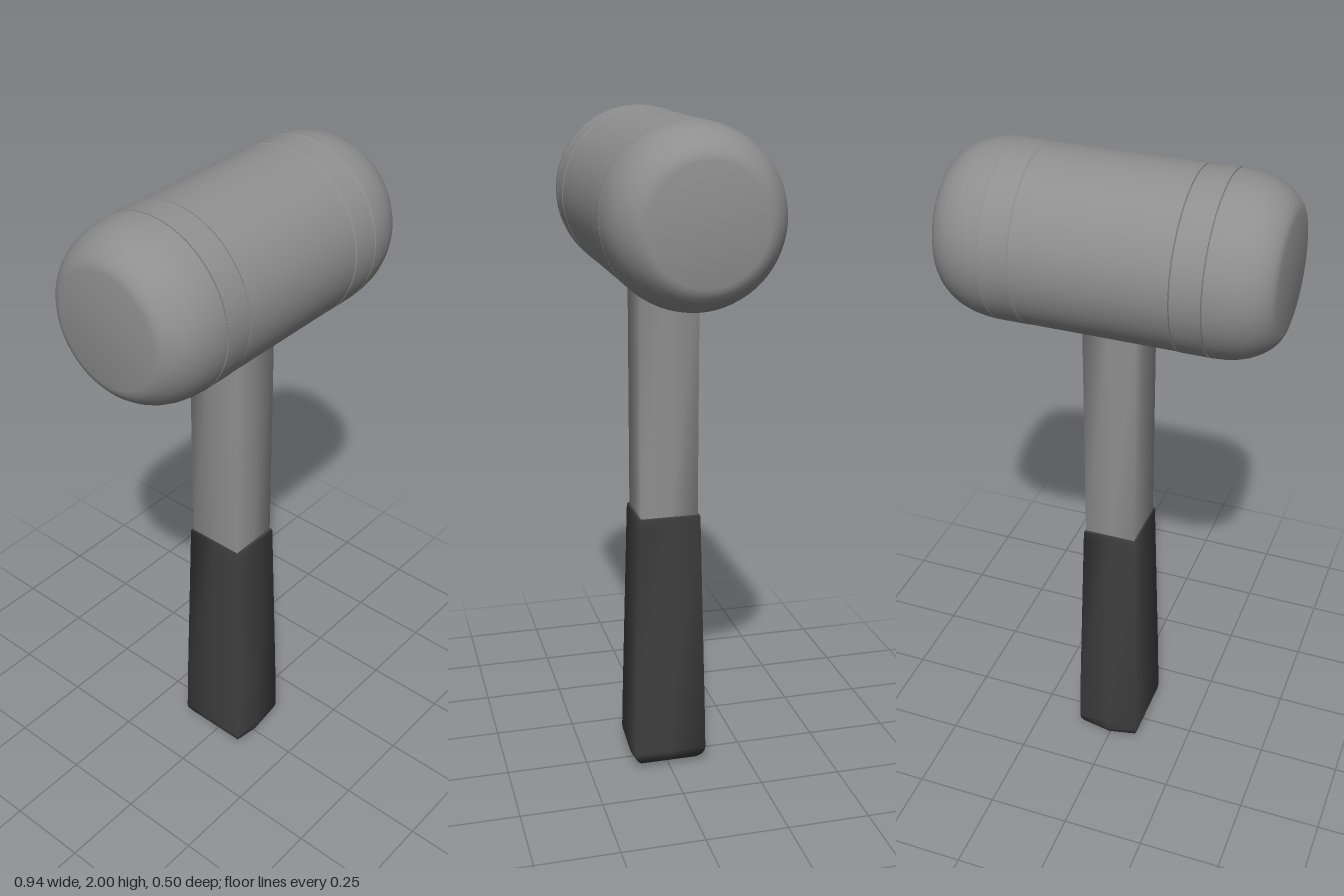
import * as THREE from 'three';
import { toCreasedNormals } from 'three/addons/utils/BufferGeometryUtils.js';

const grey = new THREE.MeshStandardMaterial({ color: 0x8f8f8f });
const dark = new THREE.MeshStandardMaterial({ color: 0x3e3e3e });

function part(name, geometry, material) {
  const mesh = new THREE.Mesh(geometry, material);
  mesh.name = name;
  return mesh;
}

// Corners and edge midpoints of a rectangle, running from +x towards +z
const OUTLINE = [[1, 0], [1, 1], [0, 1], [-1, 1], [-1, 0], [-1, -1], [0, -1], [1, -1]];

// Closed, smooth-shaded loft through sections [y, halfX, halfZ, bow], bottom to top
function loft(sections) {
  const pos = [], index = [];
  const n = OUTLINE.length, last = sections.length - 1;
  for (const [y, hx, hz, bow = 0] of sections) {
    for (const [x, z] of OUTLINE) pos.push(x * hx, y + bow * x * x, z * hz);
  }
  for (let s = 0; s < last; s++) {
    for (let i = 0; i < n; i++) {
      const a = s * n + i, b = s * n + (i + 1) % n;
      index.push(a, a + n, b, b, a + n, b + n);
    }
  }
  const c = pos.length / 3;
  pos.push(0, sections[0][0], 0, 0, sections[last][0], 0);
  for (let i = 0; i < n; i++) {
    const j = (i + 1) % n;
    index.push(c, i, j, c + 1, last * n + j, last * n + i);
  }
  const g = new THREE.BufferGeometry();
  g.setAttribute('position', new THREE.Float32BufferAttribute(pos, 3));
  g.setIndex(index);
  g.computeVertexNormals();
  return g;
}

// Solid of revolution lying along x, from [x, radius] points
function turned(points) {
  const g = new THREE.LatheGeometry(points.map(([x, r]) => new THREE.Vector2(r, x)), 64);
  return toCreasedNormals(g.rotateZ(-Math.PI / 2), 0.5);
}

export function createModel() {
  const model = new THREE.Group();
  model.name = 'mallet';

  // Head: barrel, grooved collars and domed striking faces
  const head = new THREE.Group();
  head.name = 'head';
  head.position.y = 1.752;
  head.add(part('barrel', turned([[-0.215, 0], [-0.215, 0.247], [0.215, 0.247], [0.215, 0]]), grey));
  for (const side of [1, -1]) {
    const end = new THREE.Group();
    end.name = side > 0 ? 'leftEnd' : 'rightEnd';
    if (side < 0) end.rotation.y = Math.PI;
    end.add(part('collar', turned([[0.213, 0], [0.213, 0.242], [0.219, 0.248], [0.3, 0.248], [0.3, 0]]), grey));
    end.add(part('strikingFace', turned([
      [0.299, 0], [0.299, 0.244], [0.304, 0.248], [0.335, 0.246], [0.37, 0.24], [0.4, 0.23],
      [0.425, 0.217], [0.447, 0.2], [0.46, 0.185], [0.467, 0.172], [0.47, 0.16], [0.47, 0],
    ]), grey));
    head.add(end);
  }
  model.add(head);

  // Flat-sided shaft running up into the head
  model.add(part('shaft', loft([
    [0.78, 0.077, 0.087], [0.8, 0.077, 0.087], [1.6, 0.077, 0.087], [1.65, 0.077, 0.087],
  ]), grey));

  // Tapered grip with a softly bowed butt
  model.add(part('grip', loft([
    [0, 0.04, 0.06, 0.004],
    [0.002, 0.075, 0.09, 0.013],
    [0.012, 0.09, 0.104, 0.02],
    [0.028, 0.098, 0.11, 0.019],
    [0.06, 0.1, 0.112],
    [0.2, 0.098, 0.109],
    [0.8, 0.082, 0.095],
    [0.83, 0.081, 0.094],
    [0.835, 0.079, 0.092],
  ]), dark));

  return model;
}
